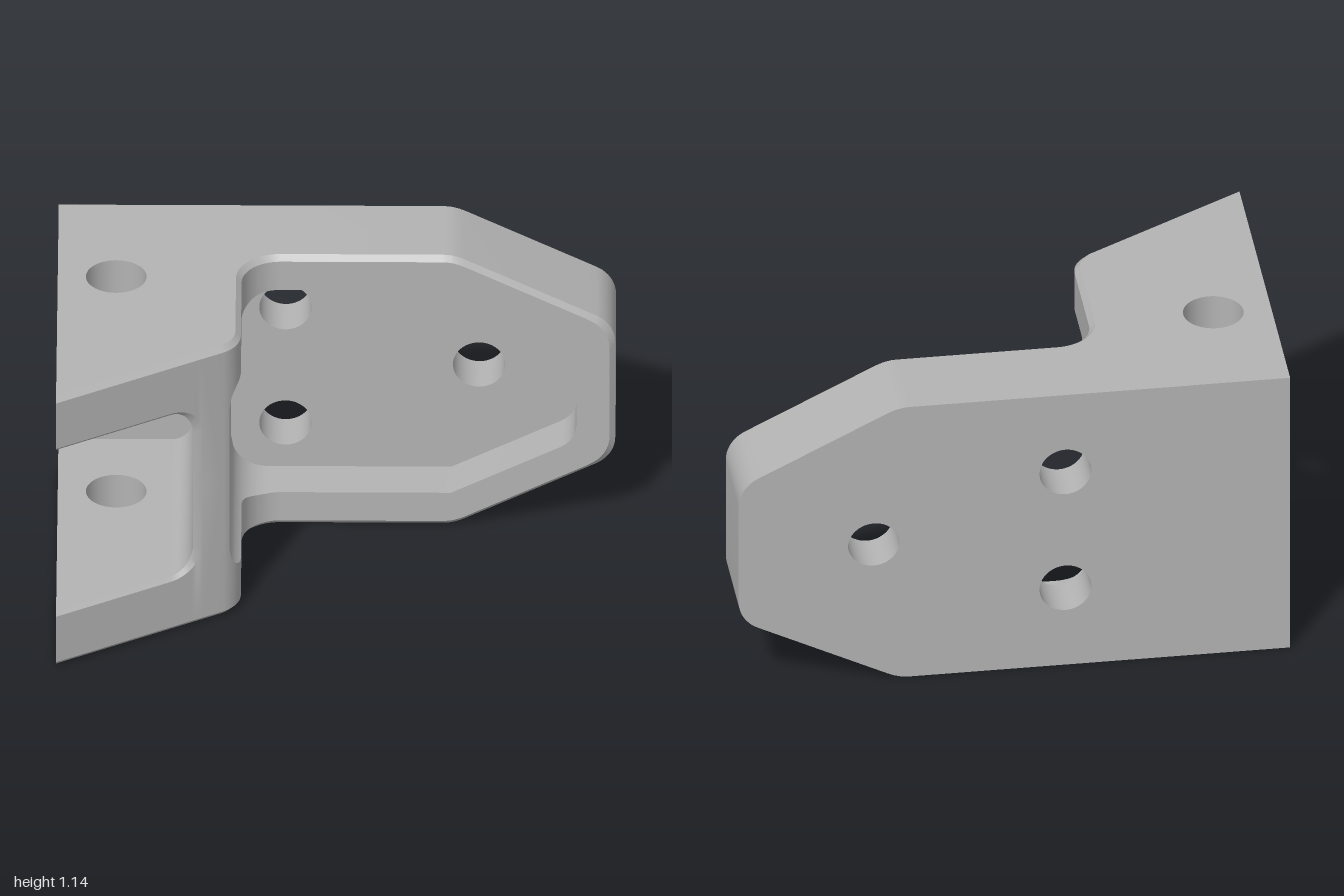
import * as THREE from 'three';
import { toCreasedNormals } from 'three/addons/utils/BufferGeometryUtils.js';

const MID = 0.57, BACK = -0.65, SLOT_FLOOR = -0.52, POCKET_FLOOR = -0.48;
const ARM_END = -0.62, CHAMFER = 0.02, TAN30 = Math.tan(Math.PI / 6);
const root = (v) => Math.sqrt(Math.max(0, v));
const clamp = (v) => Math.min(1, Math.max(0, v));
const diagonal = (x) => 0.65 - (x + 1) * TAN30;

// Front boundary seen from above: depth z and outward normal at x
function plan(x) {
  if (x < -0.405) return { z: diagonal(x), nx: 0.5, nz: 0.866 };
  if (x <= -0.34) { // convex corner
    const c = Math.min(1, (x + 0.47) / 0.13), s = root(1 - c * c);
    return { z: 0.194 + 0.13 * s, nx: c, nz: s };
  }
  if (x < -0.2) { // concave corner
    const c = -(x + 0.2) / 0.14, s = root(1 - c * c);
    return { z: -0.165 - 0.14 * s, nx: c, nz: s };
  }
  return { z: -0.305, nx: 0, nz: 1 };
}

// Half heights of the outline, the pocket and the slot at x
function outerHalf(x) {
  if (x < 0.38) return 0.57;
  if (x < 0.46) return 0.57 - 3.125 * (x - 0.38) ** 2;
  if (x < 0.93) return 0.57 - 0.5 * (x - 0.42);
  return 0.202 + root(0.126 ** 2 - (x - 0.874) ** 2);
}
function pocketHalf(x) {
  if (x < -0.25) return 0.3 + root(0.13 ** 2 - (x + 0.25) ** 2);
  if (x < 0.41) return 0.43;
  if (x < 0.805) return 0.43 - 0.5 * (x - 0.41);
  return 0.143 + root(0.1 ** 2 - (x - 0.76) ** 2);
}
const slotHalf = (x) => (x < -0.59 ? 0.357 : 0.247 + root(0.11 ** 2 - (x + 0.59) ** 2));

// n + 1 values from a to b, crowded towards b (or towards a)
const ease = (a, b, n, atStart) => Array.from({ length: n + 1 }, (_, i) => {
  const t = (i / n) * Math.PI / 2;
  return a + (b - a) * (atStart ? 1 - Math.cos(t) : Math.sin(t));
});

const pocketXs = [...ease(-0.38, -0.25, 10, true), 0.38, 0.4, 0.41, 0.42, 0.44, 0.46, 0.8, ...ease(0.805, 0.86, 8)];
const outerXs = [-1, 0.38, 0.4, 0.42, 0.44, 0.46, ...ease(0.93, 1, 10)];

// Upper half of the body, lofted along x; each section runs from back over the front into the recess
function bodyHalf() {
  const sections = [];
  const add = (x, inner, floor, chamfered, out = outerHalf(x)) => {
    const { z, nx, nz } = plan(x);
    const xf = x - CHAMFER * clamp((x - 0.9) / 0.1);
    const xi = chamfered ? x - 0.03 * clamp((x + 0.59) / 0.11) : xf;
    const yi = chamfered ? Math.max(0, inner - 0.014) : inner;
    const zi = chamfered ? diagonal(xi) - 0.016 : z;
    const xo = x - CHAMFER * nx;
    sections.push([
      [xo, out, BACK], [xo, out, z - CHAMFER * nz],
      [xf, Math.max(0, out - CHAMFER), z], [xf, inner, z],
      [xi, yi, zi], [xi, yi, floor ?? zi],
    ]);
  };
  // Slot
  [ARM_END, ...ease(-0.59, -0.48, 12)].forEach((x) => add(x, slotHalf(x), SLOT_FLOOR, true));
  add(-0.48, 0, SLOT_FLOOR, true);
  // Web between slot and pocket
  [-0.48, -0.406, -0.4, -0.393, -0.386, -0.38].forEach((x) => add(x, 0));
  add(-0.38, 0, POCKET_FLOOR);
  // Pocket, with the inner corner of the bracket
  const xs = [...ease(-0.38, -0.34, 8), ...ease(-0.3399, -0.2, 14, true), ...pocketXs.filter((x) => x > -0.338)];
  xs.sort((a, b) => a - b).forEach((x) => add(x, pocketHalf(x), POCKET_FLOOR));
  add(0.86, 0, POCKET_FLOOR);
  // Solid tip
  [0.86, 0.9, ...ease(0.93, 1, 10)].forEach((x) => add(x, 0));
  add(1, 0, undefined, false, 0);

  const positions = [];
  const triangle = (...p) => {
    const [a, b, c] = p.map((q) => new THREE.Vector3(...q));
    if (b.sub(a).cross(c.sub(a)).length() > 1e-9) positions.push(...p.flat());
  };
  for (let i = 0; i + 1 < sections.length; i++) {
    const s = sections[i], t = sections[i + 1];
    for (let j = 0; j < 5; j++) {
      triangle(s[j], s[j + 1], t[j + 1]);
      triangle(s[j], t[j + 1], t[j]);
    }
  }
  const geometry = new THREE.BufferGeometry();
  geometry.setAttribute('position', new THREE.Float32BufferAttribute(positions, 3));
  return toCreasedNormals(geometry, 0.5);
}

// Fork arm: plan shape with a pin hole, extruded in y, front edges chamfered
function armGeometry() {
  const depth = 0.227;
  const shape = new THREE.Shape([[-1, BACK + 0.001], [ARM_END, BACK + 0.001], [ARM_END, diagonal(ARM_END)], [-1, 0.65]]
    .map((p) => new THREE.Vector2(...p)));
  shape.holes.push(new THREE.Path().absarc(-0.79, -0.17, 0.109, 0, Math.PI * 2, true));
  const geometry = new THREE.ExtrudeGeometry(shape, { depth, steps: 3, bevelEnabled: false, curveSegments: 24 });
  const layers = [0, CHAMFER, depth - 0.014, depth], setback = [0.023, 0, 0, 0.016];
  const p = geometry.attributes.position;
  for (let i = 0; i < p.count; i++) {
    const k = Math.round((p.getZ(i) / depth) * 3);
    if (p.getY(i) > 0.3) p.setY(i, p.getY(i) - setback[k]);
    p.setZ(i, layers[k]);
  }
  geometry.rotateX(Math.PI / 2).translate(0, MID, 0);
  return toCreasedNormals(geometry, 0.5);
}

const BOLTS = [[-0.185, 0.245], [-0.185, -0.245], [0.51, 0.005]], BOLT_RADIUS = 0.094;

// Flat face with a mirrored outline and bolt holes
function drilledFace(xs, half) {
  const points = [
    ...xs.map((x) => new THREE.Vector2(x, -half(x))),
    ...[...xs].reverse().map((x) => new THREE.Vector2(x, half(x))),
  ];
  const shape = new THREE.Shape(points);
  BOLTS.forEach(([x, y]) => shape.holes.push(new THREE.Path().absarc(x, y, BOLT_RADIUS, 0, Math.PI * 2, true)));
  return new THREE.ShapeGeometry(shape, 24);
}

export function createModel() {
  const metal = new THREE.MeshStandardMaterial({ color: 0xb3b3b3, side: THREE.DoubleSide });
  metal.name = 'grey metal';
  const model = new THREE.Group();
  model.name = 'bracket';
  model.position.y = MID;
  const add = (name, geometry, parent = model) => {
    const mesh = new THREE.Mesh(geometry, metal);
    mesh.name = name;
    parent.add(mesh);
    return mesh;
  };

  // Upper and lower halves
  const body = bodyHalf(), arm = armGeometry();
  for (const [side, sign] of [['upper', 1], ['lower', -1]]) {
    const half = new THREE.Group();
    half.name = side + 'Half';
    half.scale.y = sign;
    add(side + 'Body', body, half);
    add(side + 'ForkArm', arm, half);
    model.add(half);
  }

  // Wall behind the slot
  const wall = SLOT_FLOOR - BACK - 0.001;
  add('slotBackWall', new THREE.BoxGeometry(0.5, 0.7, wall)).position.set(-0.75, 0, SLOT_FLOOR - wall / 2);

  // Mounting plate faces and bolt holes
  add('pocketFloor', drilledFace(pocketXs, pocketHalf)).position.z = POCKET_FLOOR;
  add('backFace', drilledFace(outerXs, outerHalf).rotateX(Math.PI)
    .scale(1, 1, 1)).position.z = BACK;
  const length = POCKET_FLOOR - BACK;
  const bore = new THREE.CylinderGeometry(BOLT_RADIUS, BOLT_RADIUS, length, 48, 1, true).rotateX(Math.PI / 2);
  BOLTS.forEach(([x, y], i) => add('boltHole' + (i + 1), bore).position.set(x, y, BACK + length / 2));

  const result = new THREE.Group();
  result.name = 'mountingBracket';
  result.add(model);
  return result;
}
